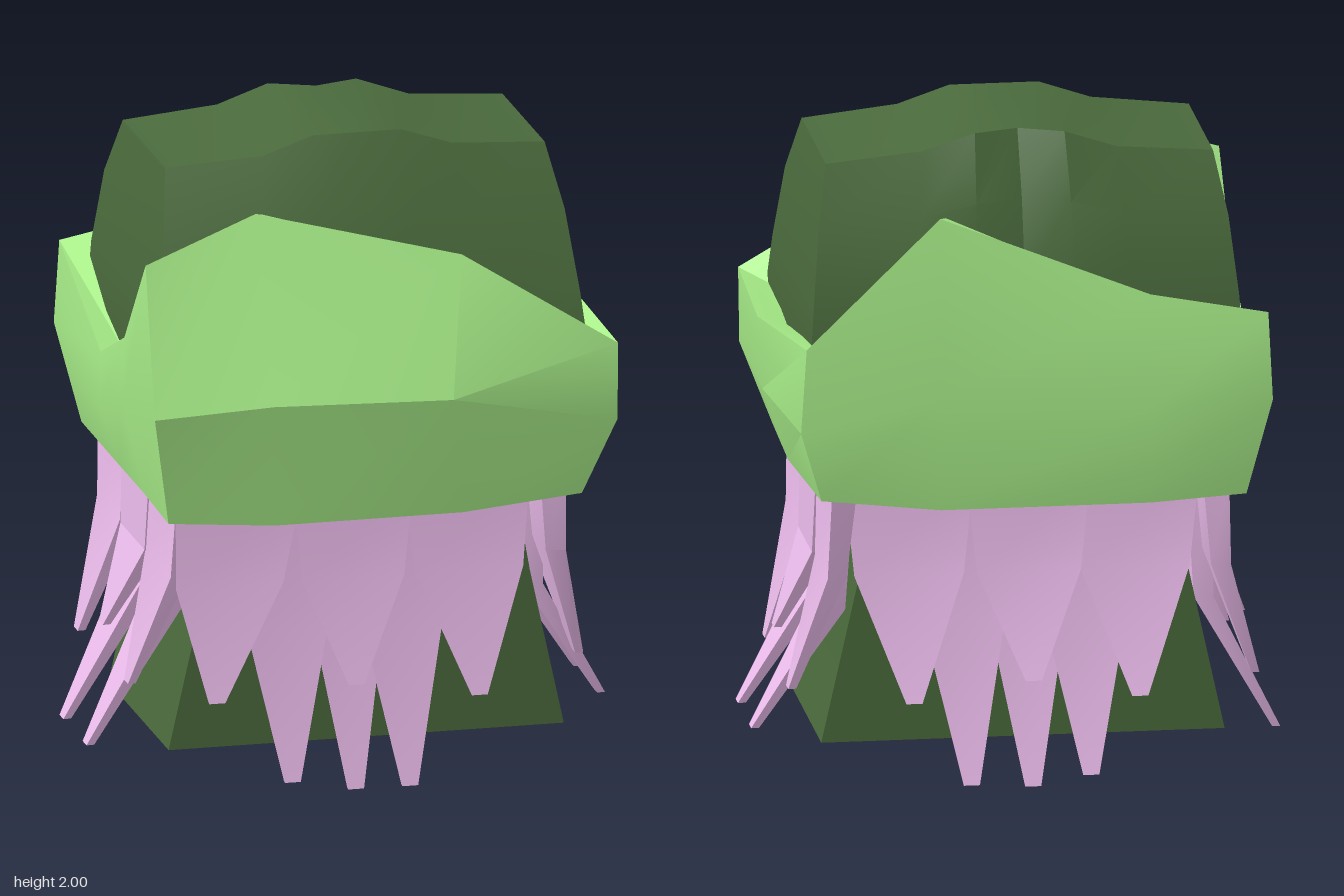
import * as THREE from 'three';
import { toCreasedNormals } from 'three/addons/utils/BufferGeometryUtils.js';

const paint = (color) => new THREE.MeshStandardMaterial({ color });
const darkGreen = paint(0x4a6a3c), lightGreen = paint(0xaaf08a), pink = paint(0xecbcec);

// Skins a stack of equal rings (counter-clockwise from above, going up).
// Either capped at both ends or closed back onto the first ring.
function loft(rings, closed, crease = 0.5) {
  const out = [], n = rings[0].length;
  const quad = (a, b, c, d) => out.push(...a, ...b, ...c, ...a, ...c, ...d);
  const last = closed ? rings.length : rings.length - 1;
  for (let r = 0; r < last; r++) {
    const lo = rings[r], hi = rings[(r + 1) % rings.length];
    for (let i = 0; i < n; i++) {
      const j = (i + 1) % n;
      quad(lo[i], lo[j], hi[j], hi[i]);
    }
  }
  if (!closed) {
    const bottom = rings[0], top = rings[rings.length - 1];
    for (let i = 0; i < n / 2 - 1; i++) {
      const a = n - 1 - i, b = n - 2 - i;
      quad(top[i], top[i + 1], top[b], top[a]);
      quad(bottom[a], bottom[b], bottom[i + 1], bottom[i]);
    }
  }
  const geo = new THREE.BufferGeometry();
  geo.setAttribute('position', new THREE.Float32BufferAttribute(out, 3));
  return toCreasedNormals(geo, crease);
}

function part(name, geo, material) {
  const mesh = new THREE.Mesh(geo, material);
  mesh.name = name;
  return mesh;
}

// Tapered stem widening into a boxy, slightly wavy crown
function makeBody() {
  const across = [-1, -0.5, -0.23, 0, 0.23, 0.5, 1];
  const lift = [-0.08, -0.055, 0, 0, 0, -0.055, -0.08];
  const dent = [0, -0.01, -0.015, 0.045, 0, 0.015, 0];
  const ring = ([y, halfX, front, back, wave]) => {
    const f = across.map((a, i) => [a * halfX, y + lift[i] * wave, front - (Math.abs(a) === 1 ? 0.03 * wave : 0)]);
    const b = across.map((a, i) => [a * halfX, y + lift[i] * wave, back + dent[i] * wave]);
    return [...f, ...b.reverse()];
  };
  return loft([
    [0.1, 0.625, 0.35, -0.415, 0],
    [0.6, 0.515, 0.36, -0.425, 0],
    [0.9, 0.46, 0.37, -0.43, 0],
    [0.98, 0.62, 0.46, -0.52, 0],
    [1.36, 0.67, 0.49, -0.505, 0.3],
    [1.55, 0.66, 0.44, -0.495, 0.7],
    [1.8, 0.635, 0.345, -0.43, 0.8],
    [2.0, 0.6, 0.235, -0.335, 1],
  ].map(ring), false, 0.45);
}

// Thick collar with an uneven rim: lower, middle and upper outline
function makeCollar() {
  const low = [
    [-0.68, 0.89, 0.57], [-0.35, 0.87, 0.6], [0.25, 0.865, 0.58], [0.65, 0.87, 0.48],
    [0.67, 0.89, 0], [0.65, 0.92, -0.6], [0.28, 0.88, -0.61], [-0.37, 0.88, -0.61],
    [-0.67, 0.89, -0.58], [-0.68, 0.9, -0.05], [-0.68, 0.9, 0.25],
  ];
  const mid = [
    [-0.745, 1.25, 0.66], [-0.37, 1.27, 0.67], [0.2, 1.25, 0.66], [0.745, 1.12, 0.55],
    [0.75, 1.12, 0], [0.72, 1.15, -0.65], [0.28, 1.25, -0.66], [-0.37, 1.2, -0.66],
    [-0.745, 1.2, -0.63], [-0.745, 1.1, -0.05], [-0.745, 1.2, 0.25],
  ];
  const top = [
    [-0.735, 1.7, 0.5], [-0.37, 1.82, 0.43], [0.27, 1.66, 0.48], [0.75, 1.36, 0.54],
    [0.765, 1.35, 0], [0.7, 1.41, -0.63], [0.28, 1.8, -0.585], [-0.37, 1.54, -0.6],
    [-0.735, 1.47, -0.6], [-0.74, 1.27, -0.05], [-0.74, 1.4, 0.25],
  ];
  const rim = top.map(([x, y, z]) => [x * 0.88, y - 0.03, z * 0.8]);
  const inside = top.map(([x, , z]) => [x * 0.83, 1.05, z * 0.75]);
  const under = low.map(([x, y, z]) => [x * 0.6, y, z * 0.6]);
  return loft([under, low, mid, top, rim, inside], true, 0.4);
}

// One hanging leaf: u runs along the side, out is the distance from the centre
function makePetal(uTop, uTip, tipY, halfW, outTop, outTip) {
  const midY = tipY < 0.2 ? 0.5 : 0.66;
  const ring = (u, y, w, out, t) => [
    [u - w, y, out], [u + w, y, out], [u + w * 0.9, y, out - t], [u - w * 0.9, y, out - t],
  ];
  const uMid = uTop + (uTip - uTop) * 0.35;
  return loft([
    ring(uTip, tipY, 0.025, outTip, 0.025),
    ring(uMid, midY, halfW * 0.85, outTop + 0.01, 0.06),
    ring(uTop, 0.95, halfW, outTop, 0.08),
  ], false, 0.3);
}

// Leaves per side: [uTop, uTip, tipY, halfWidth, outTop, outTip]
const endLong = [0.11, 0.1, 0.05];
const sidePetals = (s, longY) => [
  [-0.23, -0.19, 0.28, 0.19, 0.615, 0.72],
  [0.09, 0.09, 0.39, 0.18, 0.62, 0.73],
  [0.42, 0.41, 0.28, 0.17, 0.615, 0.73],
  [-0.07, -0.065, longY, 0.14, 0.59, 0.82],
  [0.23, 0.23, longY, 0.14, 0.59, 0.82],
].map(([a, b, ...rest]) => [a * s, b * s, ...rest]);

const skirts = [
  ['front', 0, [
    [-0.44, -0.53, 0.31, 0.2, 0.5, 0.59],
    [-0.08, -0.09, 0.34, 0.19, 0.51, 0.59],
    [0.28, 0.3, 0.28, 0.2, 0.5, 0.59],
    [-0.28, -0.29, 0.04, 0.15, 0.48, 0.585],
    [-0.09, -0.09, 0.005, 0.13, 0.475, 0.585],
    [0.08, 0.08, 0.005, 0.15, 0.48, 0.59],
  ]],
  ['left', Math.PI / 2, sidePetals(1, 0.11)],
  ['back', Math.PI, [
    [-0.37, -0.37, 0.28, 0.2, 0.53, 0.66],
    [0.0, 0.0, 0.34, 0.19, 0.54, 0.66],
    [0.33, 0.33, 0.28, 0.2, 0.53, 0.66],
    [-0.2, -0.19, 0.01, 0.15, 0.5, 0.645],
    [0.0, 0.0, 0.0, 0.14, 0.5, 0.645],
    [0.18, 0.18, 0.03, 0.15, 0.5, 0.645],
  ]],
  ['right', -Math.PI / 2, sidePetals(-1, 0.055)],
];

export function createModel() {
  const model = new THREE.Group();
  model.name = 'plant';
  model.add(part('body', makeBody(), darkGreen));
  model.add(part('collar', makeCollar(), lightGreen));
  for (const [side, angle, petals] of skirts) {
    const skirt = new THREE.Group();
    skirt.name = side + 'Skirt';
    skirt.rotation.y = angle;
    for (const p of petals) skirt.add(part('petal', makePetal(...p), pink));
    model.add(skirt);
  }
  return model;
}
